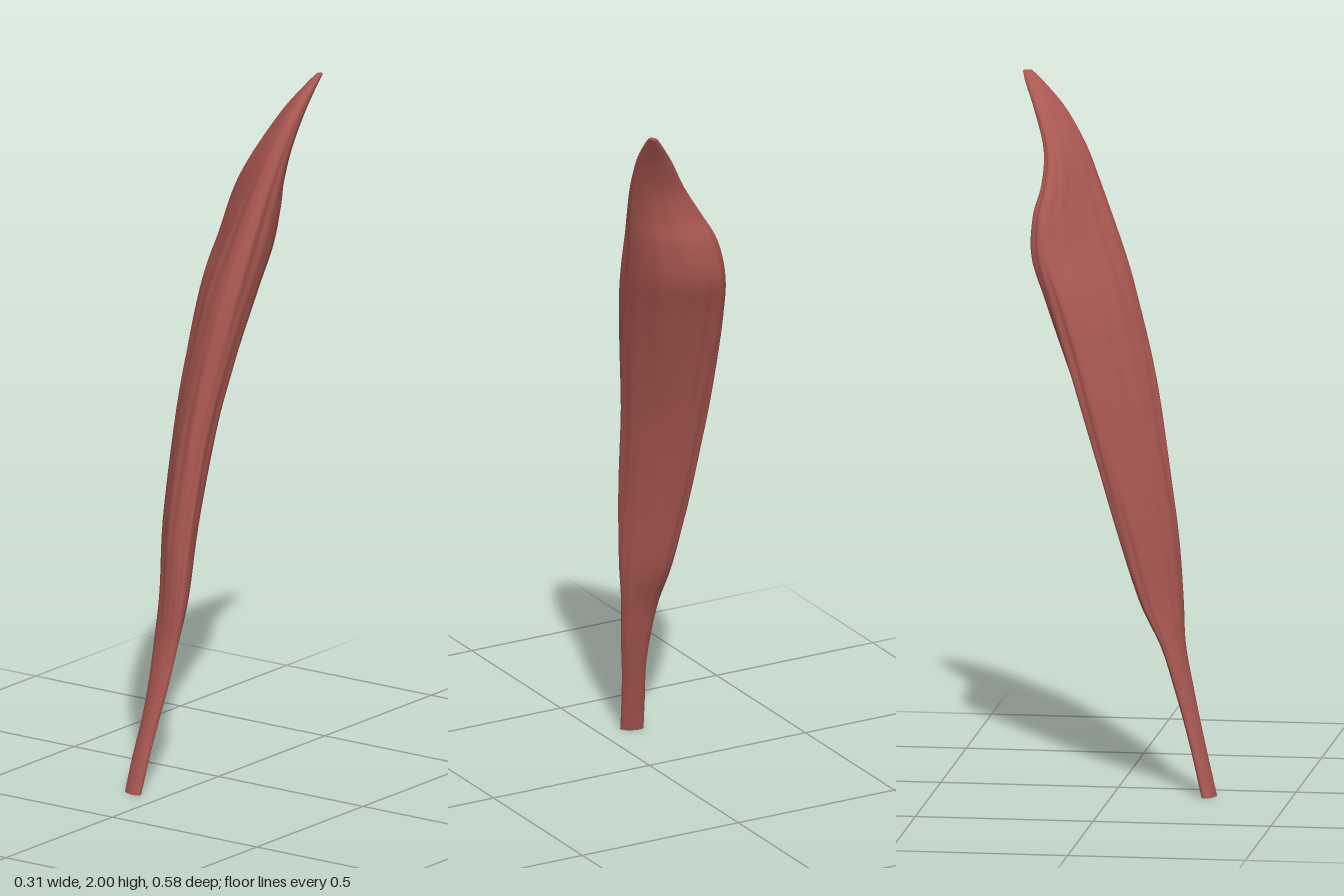
import * as THREE from 'three';

// Cross-sections up the strap: height, x min, x max, z min, z max, how strongly
// the section is flattened along the x = z diagonal (0 round, 1 flat), and how
// far its middle bows towards the back
const SECTIONS = [
  [0.00, -0.128, -0.066, 0.250, 0.289, 0.45, 0],
  [0.10, -0.119, -0.056, 0.226, 0.265, 0.4, 0],
  [0.20, -0.107, -0.043, 0.199, 0.241, 0.4, 0],
  [0.30, -0.104, -0.027, 0.170, 0.218, 0.45, 0],
  [0.42, -0.109, -0.013, 0.132, 0.194, 0.5, 0],
  [0.55, -0.121, 0.002, 0.072, 0.185, 0.58, 0],
  [0.75, -0.141, 0.013, 0.012, 0.169, 0.62, 0],
  [1.00, -0.154, 0.031, -0.060, 0.131, 0.64, 0.005],
  [1.20, -0.156, 0.056, -0.120, 0.094, 0.62, 0.012],
  [1.40, -0.152, 0.083, -0.186, 0.046, 0.6, 0.022],
  [1.52, -0.132, 0.098, -0.227, 0.008, 0.61, 0.028],
  [1.63, -0.100, 0.110, -0.228, -0.034, 0.62, 0.028],
  [1.71, -0.056, 0.120, -0.211, -0.066, 0.6, 0.022],
  [1.80, 0.000, 0.131, -0.213, -0.104, 0.55, 0.015],
  [1.90, 0.060, 0.144, -0.247, -0.165, 0.5, 0.007],
  [1.97, 0.112, 0.153, -0.279, -0.230, 0.4, 0],
  [2.00, 0.136, 0.156, -0.289, -0.264, 0.3, 0],
];
const RINGS = 96, SIDES = 72;

// Smooth interpolation of every section value
function sectionAt(t) {
  const last = SECTIONS.length - 1;
  const f = t * last, i = Math.min(Math.floor(f), last - 1), u = f - i;
  const [a, b, c, d] = [i - 1, i, i + 1, i + 2].map(k => SECTIONS[Math.min(Math.max(k, 0), last)]);
  return b.map((v, k) => v + 0.5 * u * (c[k] - a[k]
    + u * (2 * a[k] - 5 * v + 4 * c[k] - d[k] + u * (3 * (v - c[k]) + d[k] - a[k]))));
}

// One closed ring, with shallow grooves that follow the fibres
function ring(t) {
  const [y, x0, x1, z0, z1, flat, bow] = sectionAt(t);
  const skew = Math.acos(flat);
  const fade = Math.sin(Math.PI * t);
  return Array.from({ length: SIDES }, (_, j) => {
    const a = (j / SIDES) * Math.PI * 2;
    const groove = 1 + fade * (0.018 * Math.sin(9 * a + 3 * y) + 0.018 * Math.sin(14 * a - 5 * y + 1)
      + 0.008 * Math.sin(5 * a + 11 * y));
    const shift = bow * Math.SQRT1_2 * Math.sin(a + skew / 2) ** 2;
    return new THREE.Vector3(
      (x0 + x1) / 2 + (x1 - x0) / 2 * Math.cos(a) * groove + shift,
      y,
      (z0 + z1) / 2 + (z1 - z0) / 2 * Math.cos(a + skew) * groove - shift);
  });
}

function geometryFrom(points, index) {
  const g = new THREE.BufferGeometry().setFromPoints(points);
  g.setIndex(index);
  g.computeVertexNormals();
  return g;
}

// Skin between successive rings
function bellyGeometry() {
  const points = [], index = [];
  for (let i = 0; i <= RINGS; i++) points.push(...ring(i / RINGS));
  for (let i = 0; i < RINGS; i++) {
    for (let j = 0; j < SIDES; j++) {
      const k = (j + 1) % SIDES;
      const a = i * SIDES + j, b = i * SIDES + k, c = a + SIDES, d = b + SIDES;
      index.push(a, b, c, b, d, c);
    }
  }
  return geometryFrom(points, index);
}

// Flat fan closing one end
function capGeometry(t, up) {
  const points = ring(t), index = [];
  const centre = new THREE.Vector3();
  points.forEach(p => centre.addScaledVector(p, 1 / SIDES));
  for (let j = 0; j < SIDES; j++) {
    const k = (j + 1) % SIDES;
    index.push(SIDES, up ? j : k, up ? k : j);
  }
  return geometryFrom([...points, centre], index);
}

export function createModel() {
  const group = new THREE.Group();
  group.name = 'muscle';
  const red = new THREE.MeshStandardMaterial({ color: 0xab5852 });
  red.name = 'muscleRed';
  const add = (name, geometry) => {
    const mesh = new THREE.Mesh(geometry, red);
    mesh.name = name;
    group.add(mesh);
  };
  add('muscleBelly', bellyGeometry());
  add('lowerEnd', capGeometry(0, false));
  add('upperEnd', capGeometry(1, true));
  return group;
}
